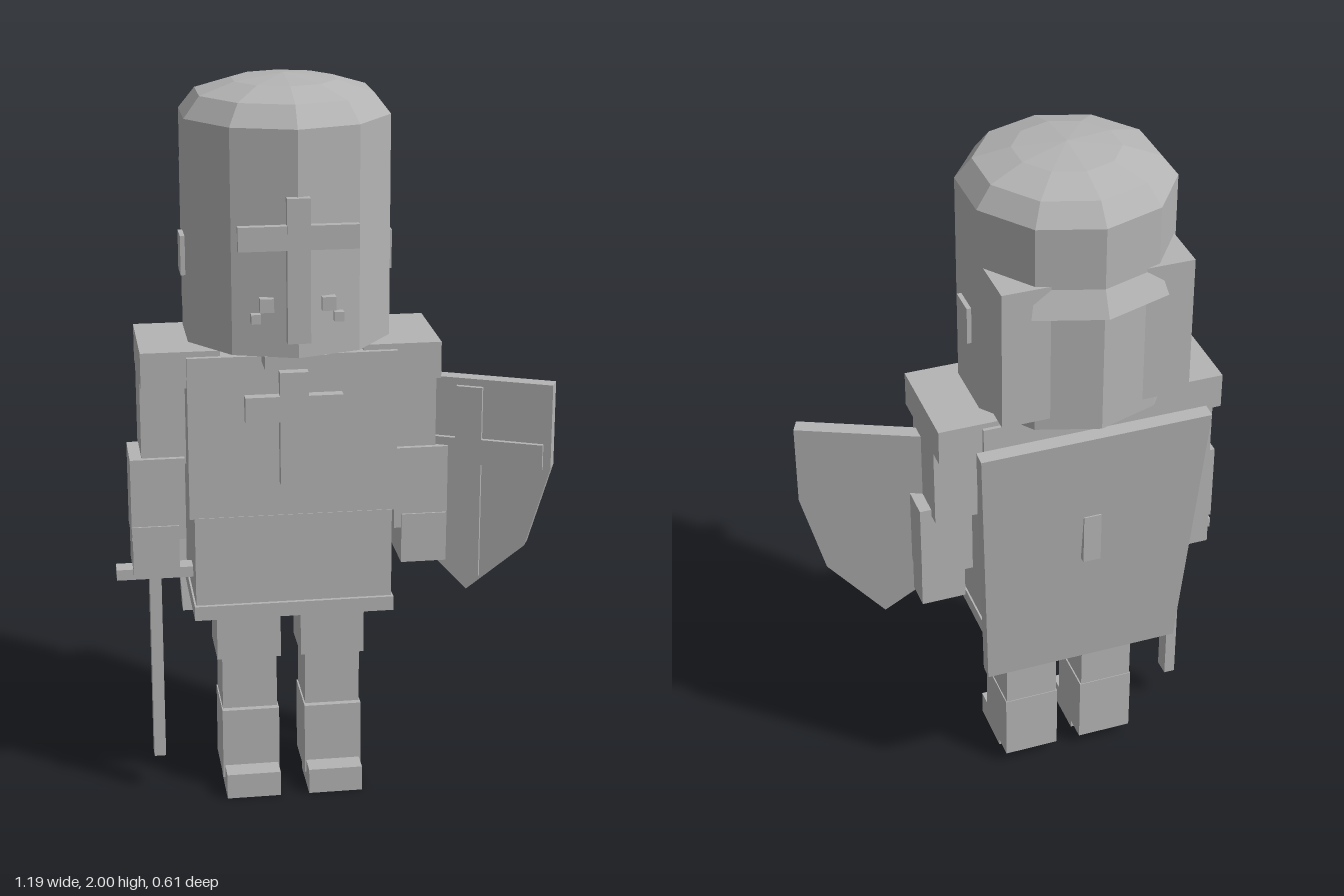
import * as THREE from 'three';

export function createModel() {
  const root = new THREE.Group();
  const stone = new THREE.MeshStandardMaterial({ color: 0xb4b4b4, flatShading: true, side: THREE.DoubleSide });
  stone.name = 'plain grey';

  // The figure's middle sits left of the origin because the shield reaches out to +x.
  const knight = new THREE.Group();
  knight.name = 'knight';
  knight.position.x = -0.122;
  root.add(knight);

  const add = (name, geometry, parent = knight) => {
    const mesh = new THREE.Mesh(geometry, stone);
    mesh.name = name;
    parent.add(mesh);
    return mesh;
  };
  // Box given by its extents along each axis
  const box = (name, x0, x1, y0, y1, z0, z1, parent) => {
    const mesh = add(name, new THREE.BoxGeometry(x1 - x0, y1 - y0, z1 - z0), parent);
    mesh.position.set((x0 + x1) / 2, (y0 + y1) / 2, (z0 + z1) / 2);
    return mesh;
  };
  // The same box on both sides of the figure
  const pair = (name, x0, x1, ...rest) => {
    box(name + 'Left', x0, x1, ...rest);
    box(name + 'Right', -x1, -x0, ...rest);
  };

  // Ten-sided helmet with a faceted dome
  const profile = [[0, 1.31], [0.2825, 1.31], [0.2825, 1.9], [0.238, 1.955], [0.14, 1.985], [0, 2]];
  add('helmet', new THREE.LatheGeometry(profile.map(p => new THREE.Vector2(...p)), 10)).position.z = 0.006;
  box('helmetCrossUpright', -0.03, 0.03, 1.353, 1.73, 0.27, 0.306);
  box('helmetCrossBar', -0.155, 0.155, 1.597, 1.66, 0.283, 0.305);
  pair('breathStudUpper', 0.062, 0.098, 1.432, 1.468, 0.23, 0.285);
  pair('breathStudLower', 0.095, 0.12, 1.4, 1.425, 0.22, 0.275);
  pair('earPlate', 0.24, 0.281, 1.48, 1.585, -0.028, 0.052);

  // Neck guard and the flared rim above it
  box('neckGuard', -0.258, 0.258, 1.345, 1.74, -0.235, -0.095);
  const flare = new THREE.CylinderGeometry(0.278, 0.314, 0.08, 2, 1, false, Math.PI * 0.8, Math.PI * 0.4);
  add('neckGuardRim', flare).position.set(0, 1.7, 0.006);

  // Neck, collar and body
  box('neck', -0.12, 0.12, 1.24, 1.33, -0.11, 0.13);
  box('collar', -0.083, 0.083, 1.27, 1.305, 0.1, 0.25);
  box('chest', -0.28, 0.28, 0.838, 1.285, -0.15, 0.17);
  box('skirt', -0.267, 0.267, 0.58, 0.84, -0.145, 0.172);
  box('skirtHem', -0.272, 0.272, 0.55, 0.59, -0.15, 0.183);
  box('chestCrossUpright', -0.038, 0.038, 0.935, 1.245, 0.16, 0.2);
  box('chestCrossBar', -0.13, 0.13, 1.11, 1.18, 0.16, 0.2);

  // Arms
  pair('shoulderPad', 0.19, 0.4, 1.2, 1.3, -0.14, 0.155);
  pair('upperArm', 0.27, 0.4, 0.97, 1.2, -0.09, 0.09);
  pair('forearm', 0.285, 0.432, 0.76, 0.99, -0.055, 0.105);
  pair('glove', 0.305, 0.43, 0.66, 0.8, -0.045, 0.11);

  // Legs
  pair('thigh', 0.028, 0.205, 0.39, 0.56, -0.07, 0.09);
  pair('shin', 0.04, 0.192, 0.22, 0.4, -0.068, 0.088);
  pair('boot', 0.036, 0.195, 0.035, 0.24, -0.07, 0.106);
  pair('foot', 0.04, 0.19, 0, 0.072, 0.01, 0.168);

  // Leaning back plate, narrower at the foot
  const plate = new THREE.BoxGeometry(1, 0.82, 0.04);
  const pos = plate.attributes.position;
  for (let i = 0; i < pos.count; i++) {
    const t = pos.getY(i) / 0.82 + 0.5;
    pos.setX(i, pos.getX(i) * (0.563 + 0.081 * t));
  }
  plate.computeVertexNormals();
  const back = add('backPlate', plate);
  back.position.set(0, 0.857, -0.191);
  back.rotation.x = -0.104;
  box('backClasp', -0.025, 0.025, 0.84, 0.99, -0.229, -0.19);

  // Sword held point down
  const sword = new THREE.Group();
  sword.name = 'sword';
  sword.position.set(-0.37, 0, 0.06);
  knight.add(sword);
  box('crossguard', -0.105, 0.11, 0.64, 0.67, -0.025, 0.025, sword);
  box('blade', -0.016, 0.016, 0.105, 0.645, -0.025, 0.025, sword);

  // Shield turned outward, with a raised cross
  const shield = new THREE.Group();
  shield.name = 'shield';
  shield.position.set(0.507, 0, 0.071);
  shield.rotation.y = -0.43;
  knight.add(shield);
  const outline = [[-0.226, 1.18], [-0.226, 0.945], [-0.16, 0.716], [0, 0.57], [0.16, 0.716], [0.226, 0.945], [0.226, 1.18]];
  const shape = new THREE.Shape(outline.map(p => new THREE.Vector2(...p)));
  add('shieldBody', new THREE.ExtrudeGeometry(shape, { depth: 0.042, bevelEnabled: false }), shield);
  box('shieldCrossUpright', -0.036, 0.036, 0.615, 1.16, 0.03, 0.055, shield);
  box('shieldCrossBar', -0.205, 0.205, 0.942, 1.013, 0.03, 0.055, shield);

  return root;
}
